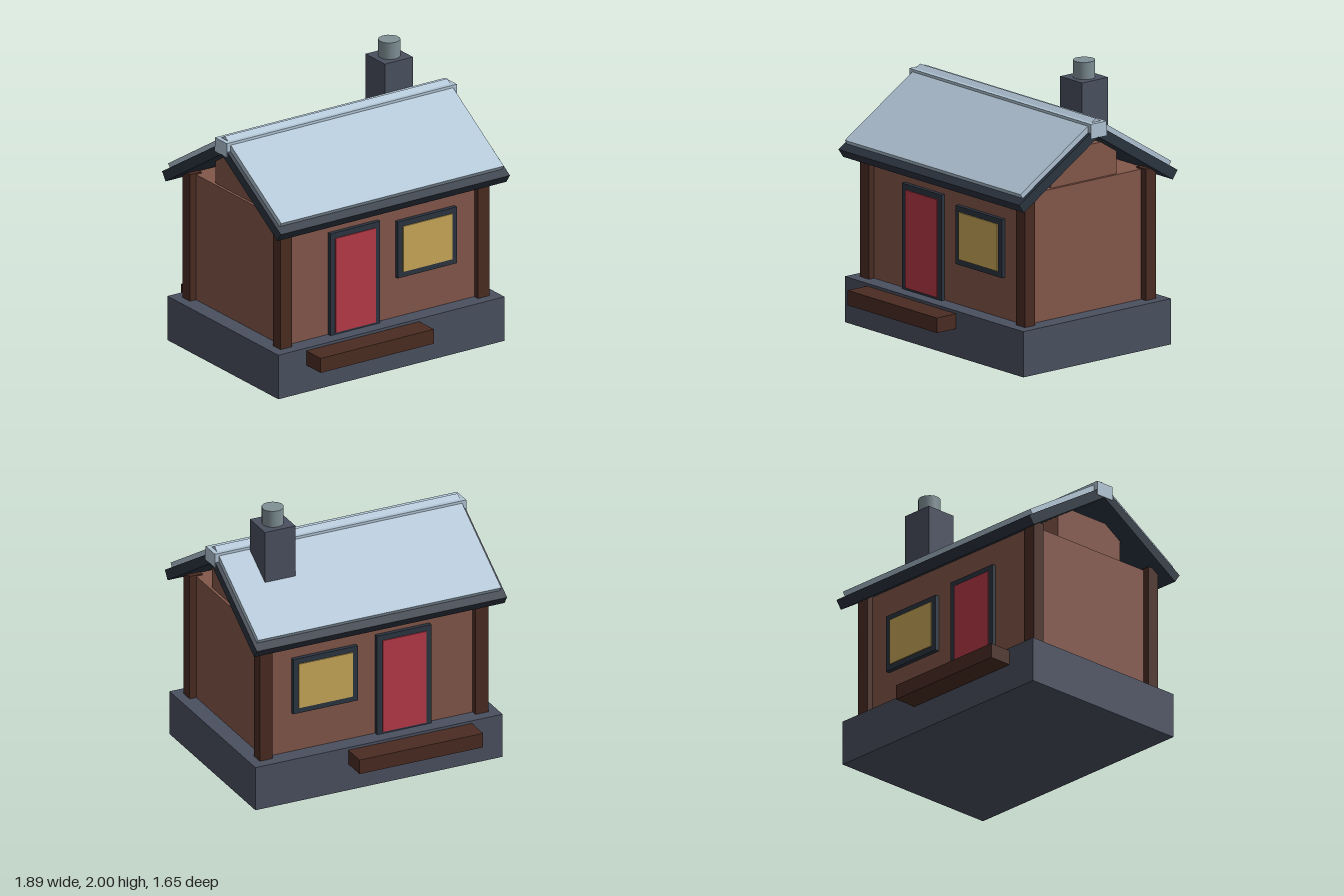
import * as THREE from 'three';

export function createModel() {
  const model = new THREE.Group();
  model.name = 'cabin';

  const mat = (name, color) => {
    const m = new THREE.MeshStandardMaterial({ color });
    m.name = name;
    return m;
  };
  const stone = mat('slate stone', 0x4a5060);
  const wall = mat('brown wall', 0x83574a);
  const timber = mat('dark timber', 0x4a2c22);
  const trim = mat('dark trim', 0x2b3440);
  const metal = mat('pale roof metal', 0xb0c4d4);
  const red = mat('red door', 0xb83a48);
  const amber = mat('amber glass', 0xc9a858);
  const pipe = mat('grey pipe', 0x7f9096);

  const add = (name, geometry, material) => {
    const mesh = new THREE.Mesh(geometry, material);
    mesh.name = name;
    model.add(mesh);
    return mesh;
  };

  // Box given by its limits on each axis
  const box = (name, material, [x0, x1], [y0, y1], [z0, z1]) => {
    const g = new THREE.BoxGeometry(x1 - x0, y1 - y0, Math.abs(z1 - z0));
    g.translate((x0 + x1) / 2, (y0 + y1) / 2, (z0 + z1) / 2);
    return add(name, g, material);
  };

  // Chevron cross-section running along x; points go from ridge to eave
  const roofLayer = (name, material, halfLength, ridgeTop, eaveTop, eaveBottom, ridgeBottom) => {
    const shape = new THREE.Shape([
      [0, ridgeTop], [-eaveTop[0], eaveTop[1]], [-eaveBottom[0], eaveBottom[1]],
      [0, ridgeBottom], eaveBottom, eaveTop,
    ].map(([x, y]) => new THREE.Vector2(x, y)));
    const g = new THREE.ExtrudeGeometry(shape, { depth: halfLength * 2, bevelEnabled: false });
    g.translate(0, 0, -halfLength);
    g.rotateY(Math.PI / 2);
    return add(name, g, material);
  };

  // Foundation, walls and the raised gable block
  box('foundation', stone, [-0.93, 0.93], [0, 0.32], [-0.655, 0.655]);
  box('walls', wall, [-0.81, 0.81], [0.32, 1.23], [-0.535, 0.535]);
  box('gable', wall, [-0.79, 0.79], [1.23, 1.475], [-0.29, 0.29]);

  // Corner posts
  for (const sx of [-1, 1]) {
    for (const sz of [-1, 1]) {
      const post = box('cornerPost', timber, [-0.0475, 0.0475], [0.32, 1.24], [-0.045, 0.045]);
      post.position.set(sx * 0.8125, 0, sz * 0.535);
    }
  }

  // Door, window and step, alike on front and back
  for (const s of [1, -1]) {
    box('doorFrame', trim, [-0.44, -0.03], [0.32, 1.06], [s * 0.53, s * 0.565]);
    box('doorPanel', red, [-0.4, -0.07], [0.335, 1.02], [s * 0.564, s * 0.572]);
    box('windowFrame', trim, [0.115, 0.6], [0.61, 1.02], [s * 0.53, s * 0.565]);
    box('windowPane', amber, [0.155, 0.56], [0.65, 0.98], [s * 0.564, s * 0.572]);
    box('step', timber, [-0.7, 0.23], [0.195, 0.3], [s * 0.65, s * 0.825]);
  }

  // Roof deck, metal covering and ridge cap
  roofLayer('roofDeck', trim, 0.942, 1.65, [0.702, 1.215], [0.66, 1.155], 1.57);
  roofLayer('roofCovering', metal, 0.915, 1.695, [0.668, 1.278], [0.647, 1.248], 1.649);
  box('ridgeCap', metal, [-0.946, 0.946], [1.57, 1.67], [-0.07, 0.07]);

  // Chimney and flue
  box('chimney', stone, [0.455, 0.685], [1.2, 1.88], [-0.305, -0.075]);
  const flue = new THREE.CylinderGeometry(0.076, 0.076, 0.125, 14);
  flue.translate(0.57, 1.9375, -0.19);
  add('flue', flue, pipe);

  return model;
}
